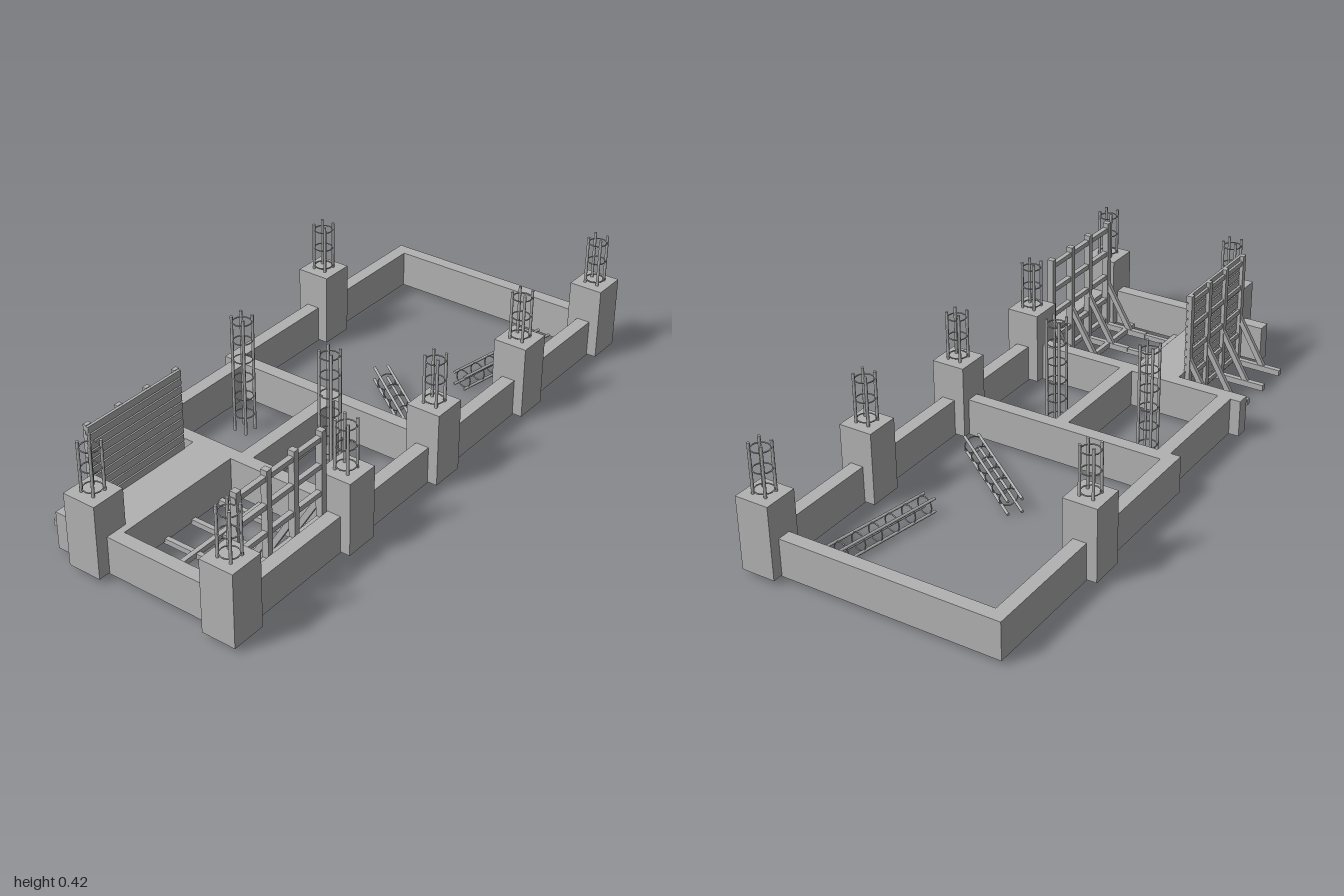
import * as THREE from 'three';

const concrete = new THREE.MeshStandardMaterial({ color: 0xb2b2b2 });
concrete.name = 'grey';

// Box given by its min/max extents
function box(parent, name, x0, x1, y0, y1, z0, z1) {
  const m = new THREE.Mesh(new THREE.BoxGeometry(x1 - x0, y1 - y0, z1 - z0), concrete);
  m.position.set((x0 + x1) / 2, (y0 + y1) / 2, (z0 + z1) / 2);
  m.name = name;
  parent.add(m);
  return m;
}

// Rebar cage: four bars tied with rings, standing on its local origin
const CAGE = 0.41;
const barGeo = new THREE.CylinderGeometry(0.0048, 0.0048, CAGE, 8);
const ringGeo = new THREE.TorusGeometry(0.03, 0.0022, 5, 16).rotateX(Math.PI / 2);
function rebarCage(name) {
  const g = new THREE.Group();
  g.name = name;
  for (const sx of [-1, 1]) for (const sz of [-1, 1]) {
    const bar = new THREE.Mesh(barGeo, concrete);
    bar.name = 'rebar';
    bar.position.set(sx * 0.0225, CAGE / 2, sz * 0.0225);
    g.add(bar);
  }
  for (let i = 0; i < 6; i++) {
    const ring = new THREE.Mesh(ringGeo, concrete);
    ring.name = 'tieRing';
    ring.position.y = CAGE - 0.021 - i * 0.066;
    g.add(ring);
  }
  return g;
}

// Formwork panel; local x = 0 is the outer face of the studs
const STUDS = [0.505, 0.627, 0.743, 0.868];
function formwork(name, x, boarded) {
  const g = new THREE.Group();
  g.name = name;
  g.position.x = x;
  const depth = boarded ? 0.013 : 0.022;
  for (const z of STUDS) {
    box(g, 'stud', 0, depth, 0.02, 0.415, z - 0.01, z + 0.01);
    box(g, 'skid', -0.155, 0.037, 0.006, 0.027, z - 0.009, z + 0.009);
    // Diagonal brace from the skid to the stud
    const s = new THREE.Shape([[-0.1, 0.022], [-0.078, 0.022], [0.003, 0.16], [0.003, 0.195]]
      .map(p => new THREE.Vector2(...p)));
    const brace = new THREE.Mesh(
      new THREE.ExtrudeGeometry(s, { depth: 0.014, bevelEnabled: false }), concrete);
    brace.name = 'brace';
    brace.position.z = z - 0.007;
    g.add(brace);
  }
  // Rails across the studs
  for (const y of [0.04, 0.12, 0.21, 0.30, 0.39])
    box(g, 'rail', 0.003, depth - 0.002, y - 0.008, y + 0.008, 0.497, 0.88);
  // Facing boards
  if (boarded) for (let i = 0; i < 14; i++) {
    const y = 0.03 + i * 0.0277;
    box(g, 'board', 0.012, 0.021, y, y + 0.023, 0.497, 0.88);
  }
  return g;
}

export function createModel() {
  const model = new THREE.Group();
  model.name = 'foundationSite';

  // Foundation beams: x0, x1, z0, z1
  const beams = {
    backBeam: [-0.365, 0.365, -0.965, -0.92],
    rightSideBeam: [-0.41, -0.365, -0.965, 0.015],
    leftSideBeam: [0.365, 0.41, -0.965, 0.955],
    middleBeam: [-0.365, 0.365, -0.03, 0.015],
    crossBeam: [-0.41, 0.365, 0.41, 0.455],
    roomBeamRight: [-0.375, -0.33, 0.015, 0.41],
    roomBeamCentre: [-0.015, 0.03, 0.015, 0.41],
    frontBeam: [-0.24, 0.365, 0.91, 0.955],
    wideBeam: [-0.165, -0.02, 0.455, 0.91],
  };
  for (const [name, [x0, x1, z0, z1]] of Object.entries(beams))
    box(model, name, x0, x1, 0.014, 0.14, z0, z1);

  // Columns with protruding rebar
  const columns = [[0.386, -0.942], [0.386, -0.476], [0.386, 0], [0.386, 0.434],
    [0.386, 0.938], [-0.387, -0.476], [-0.1, 0.938]];
  for (const [x, z] of columns) {
    box(model, 'column', x - 0.057, x + 0.057, 0.018, 0.262, z - 0.058, z + 0.058);
    const cage = rebarCage('columnRebar');
    cage.position.set(x, 0.016, z);
    model.add(cage);
  }

  // Cages standing in the two small rooms
  for (const x of [-0.224, 0.11]) {
    const cage = rebarCage('standingRebar');
    cage.position.set(x, 0.002, 0.146);
    model.add(cage);
  }

  // Cages lying on the ground
  for (const [x0, z0, x1, z1] of [[-0.05, -0.345, 0.27, -0.1], [0.255, -0.86, 0.182, -0.46]]) {
    const cage = rebarCage('lyingRebar');
    const dir = new THREE.Vector3(x1 - x0, 0, z1 - z0).normalize();
    const side = new THREE.Vector3(dir.z, 0, -dir.x);
    const up = new THREE.Vector3().crossVectors(side, dir);
    cage.quaternion.setFromRotationMatrix(new THREE.Matrix4().makeBasis(side, dir, up));
    cage.position.set(x0, 0.036, z0);
    model.add(cage);
  }

  // Formwork
  model.add(formwork('boardedFormwork', -0.182, true));
  model.add(formwork('openFormwork', 0.341, false));

  // Timber grid on the ground
  for (const z of STUDS)
    box(model, 'groundTimber', -0.055, 0.365, 0.006, 0.024, z - 0.008, z + 0.008);
  for (const x of [0.09, 0.265])
    box(model, 'groundCrossTimber', x - 0.008, x + 0.008, 0.01, 0.028, 0.44, 0.93);

  return model;
}
